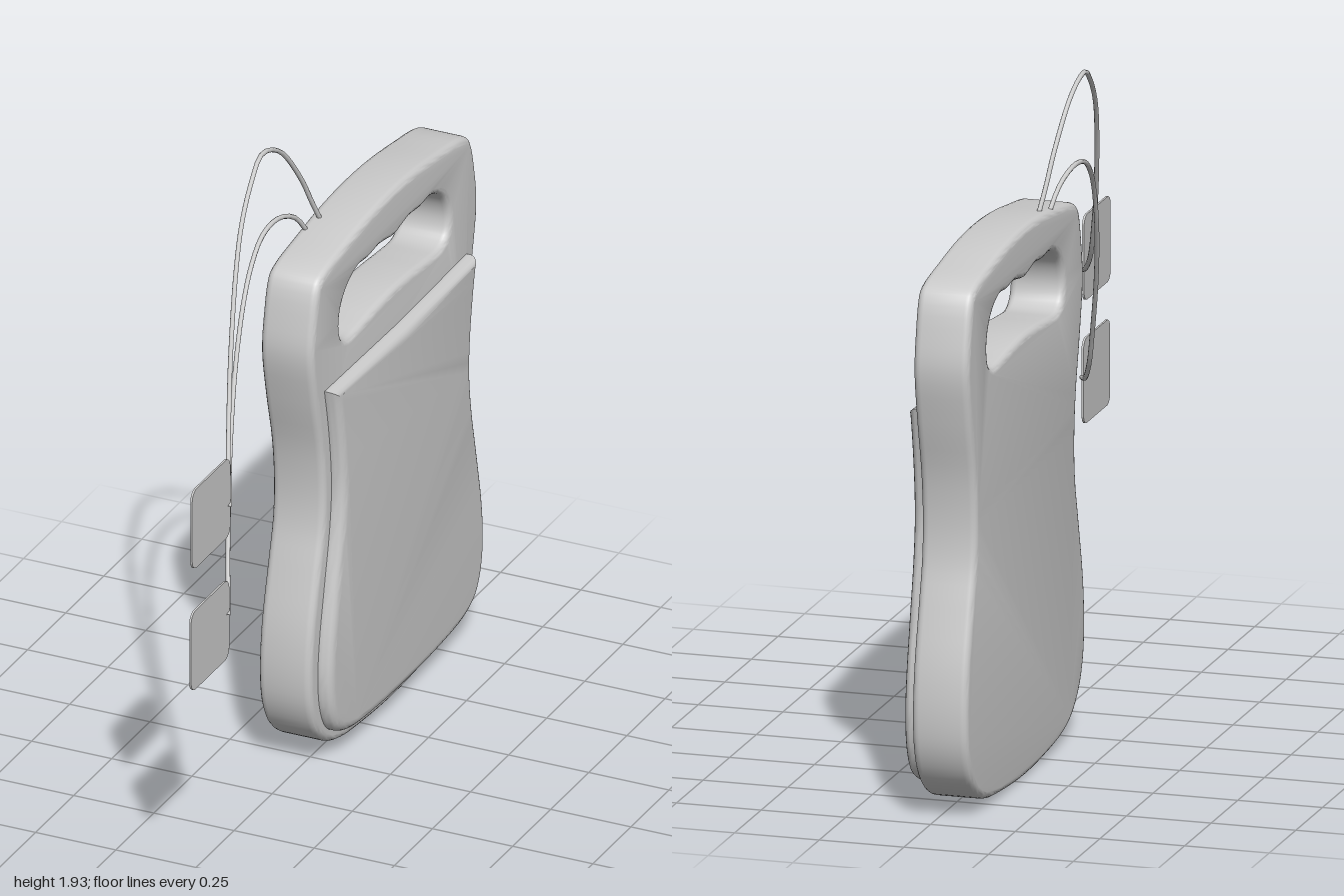
import * as THREE from 'three';
import { toCreasedNormals } from 'three/addons/utils/BufferGeometryUtils.js';

const CENTRE = 0.44; // middle of the body, measured along -z
const material = new THREE.MeshStandardMaterial({ color: 0xcccccc });

// Smooth 2D points through a list of [u, y] pairs
function smooth(pairs, closed, perSpan = 4) {
  const curve = new THREE.CatmullRomCurve3(
    pairs.map(([u, y]) => new THREE.Vector3(u + CENTRE, y, 0)), closed, 'centripetal');
  const pts = curve.getPoints((closed ? pairs.length : pairs.length - 1) * perSpan);
  if (closed) pts.pop();
  return pts.map((p) => new THREE.Vector2(p.x, p.y));
}

// Mirror a half profile that starts and ends on the centre line
const mirrored = (half) => [
  ...half,
  ...half.slice().reverse().filter(([u]) => u > 0).map(([u, y]) => [-u, y]),
];

// Extrude a side profile (u = -z) from x0 to x1, with rounded rims
function slab(name, shape, x0, x1, thick, size, segments = 4) {
  const geo = new THREE.ExtrudeGeometry(shape, {
    depth: x1 - x0 - 2 * thick, bevelEnabled: size > 0, bevelThickness: thick,
    bevelSize: size, bevelOffset: -size, bevelSegments: segments, curveSegments: 6,
  });
  geo.translate(0, 0, x0 + thick);
  geo.rotateY(Math.PI / 2);
  const mesh = new THREE.Mesh(toCreasedNormals(geo, 0.6), material);
  mesh.name = name;
  return mesh;
}

function createBody() {
  const outline = mirrored([
    [0, 0.008], [0.2, 0.017], [0.35, 0.035], [0.44, 0.068], [0.51, 0.13], [0.548, 0.21],
    [0.56, 0.31], [0.548, 0.45], [0.505, 0.63], [0.475, 0.75], [0.467, 0.86], [0.48, 1.0],
    [0.52, 1.17], [0.546, 1.32], [0.535, 1.42], [0.502, 1.535], [0.47, 1.56],
    [0.3, 1.59], [0.15, 1.608], [0, 1.614],
  ]);
  const body = new THREE.Shape(smooth(outline, true));
  // Handle opening with finger bumps along the top
  const opening = mirrored([
    [0, 1.302], [0.12, 1.297], [0.22, 1.288], [0.305, 1.285], [0.345, 1.305], [0.36, 1.355],
    [0.345, 1.41], [0.305, 1.452], [0.24, 1.478], [0.17, 1.474], [0.1, 1.48], [0.05, 1.473], [0, 1.465],
  ]);
  body.holes.push(new THREE.Path(smooth(opening, true)));
  return slab('body', body, -0.107, 0.057, 0.022, 0.02);
}

function createPanel() {
  const right = [
    [0.467, 1.192], [0.447, 1.1], [0.428, 0.98], [0.42, 0.86], [0.432, 0.74], [0.47, 0.56],
    [0.5, 0.41], [0.51, 0.29], [0.495, 0.19], [0.455, 0.12], [0.38, 0.083], [0.2, 0.063], [0, 0.058],
  ];
  const left = right.slice(0, -1).reverse().map(([u, y]) => [-u, y]);
  const outline = smooth([...right, ...left], false);
  outline.push(new THREE.Vector2(CENTRE, 1.184));
  return slab('frontPanel', new THREE.Shape(outline), 0.03, 0.098, 0.028, 0.03, 5);
}

// Thin cable through [x, y, z] points
function createCable(name, points) {
  const curve = new THREE.CatmullRomCurve3(points.map((p) => new THREE.Vector3(...p)), false, 'centripetal');
  const mesh = new THREE.Mesh(new THREE.TubeGeometry(curve, 44, 0.007, 8), material);
  mesh.name = name;
  return mesh;
}

// Thin square pad with rounded corners
function createPad(name, x, y, z) {
  const h = 0.125, r = 0.03, s = new THREE.Shape();
  s.moveTo(-h + r, -h);
  s.absarc(h - r, -h + r, r, -Math.PI / 2, 0);
  s.absarc(h - r, h - r, r, 0, Math.PI / 2);
  s.absarc(-h + r, h - r, r, Math.PI / 2, Math.PI);
  s.absarc(-h + r, -h + r, r, Math.PI, Math.PI * 1.5);
  const pad = slab(name, s, -0.003, 0.003, 0, 0);
  pad.position.set(x, y, z);
  return pad;
}

export function createModel() {
  const model = new THREE.Group();
  model.name = 'padDevice';
  model.add(createBody(), createPanel());

  model.add(createCable('upperCable', [
    [-0.073, 1.58, -0.23], [-0.085, 1.66, -0.19], [-0.095, 1.755, -0.14], [-0.11, 1.89, -0.03],
    [-0.114, 1.93, 0.08], [-0.105, 1.885, 0.165], [-0.09, 1.8, 0.26], [-0.07, 1.69, 0.34],
    [-0.03, 1.48, 0.46], [0.005, 1.33, 0.545], [0.037, 1.23, 0.615], [0.07, 1.18, 0.675], [0.097, 1.163, 0.735],
  ]));
  model.add(createCable('lowerCable', [
    [-0.085, 1.57, -0.17], [-0.1, 1.645, -0.11], [-0.112, 1.68, -0.02], [-0.114, 1.67, 0.075],
    [-0.105, 1.62, 0.165], [-0.09, 1.54, 0.25], [-0.067, 1.39, 0.35], [-0.03, 1.21, 0.46],
    [0.02, 1.01, 0.58], [0.045, 0.92, 0.635], [0.077, 0.855, 0.7], [0.108, 0.836, 0.765],
  ]));
  model.add(createPad('upperPad', 0.09, 1.195, 0.845), createPad('lowerPad', 0.101, 0.825, 0.875));
  return model;
}
